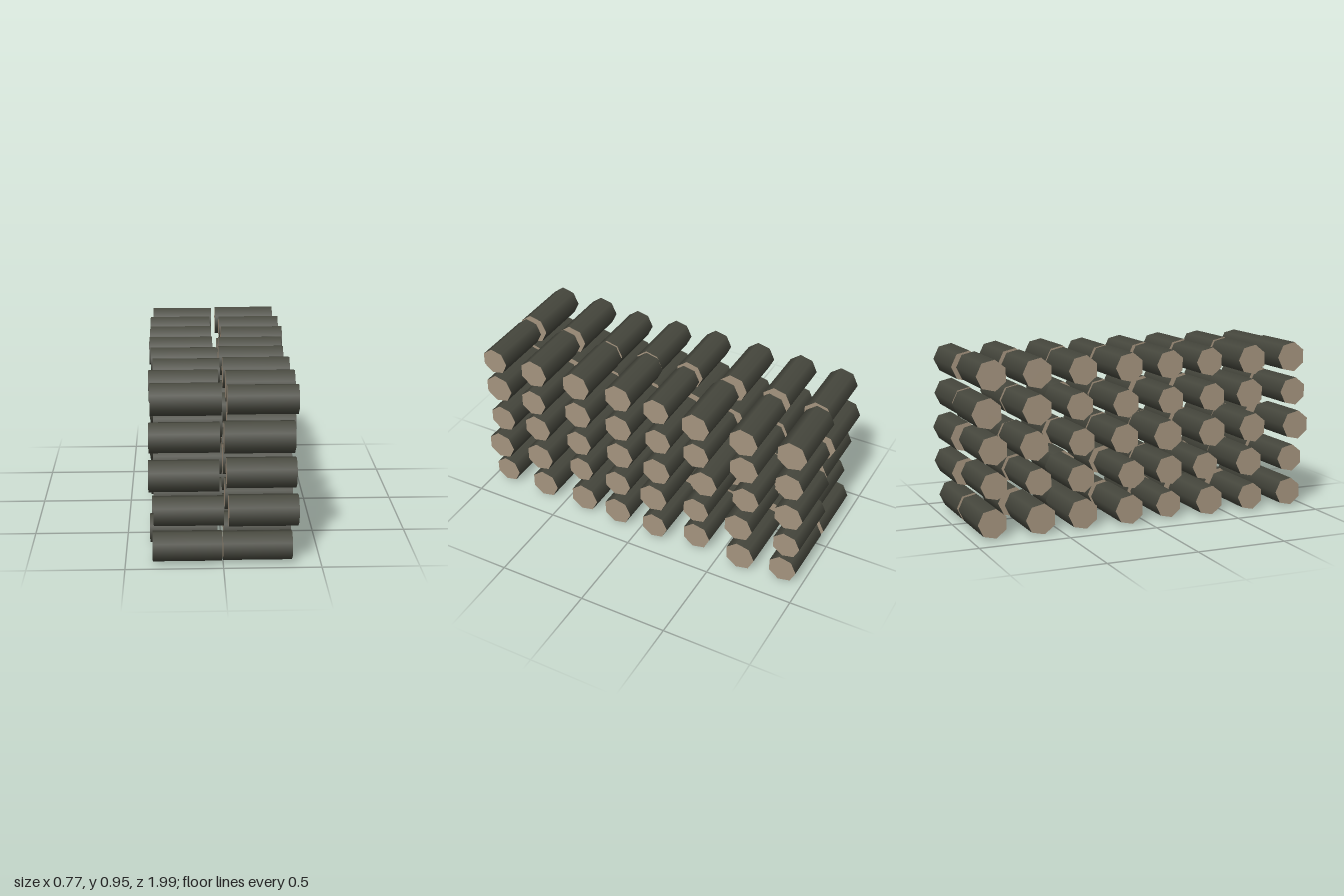
import * as THREE from 'three';

// Sideways drift of each log in hundredths, front to back; top layer first
const DRIFT = {
  left: [
    [1, 1, 0, 0, 2, 3, 1, 0],
    [1, 2, 0, 0, 1, 3, 1, 0],
    [-1, 2, 0, 0, 1, -1, -1, -1],
    [1, 1, 0, 1, 3, 3, 2, -1],
    [0, -1, -2, 1, 2, 3, 0, 1],
  ],
  right: [
    [0, 0, 0, 1, 2, 1, 1, 2],
    [1, 0, 1, 1, 0, 0, 1, -1],
    [3, 2, 1, 0, 0, 1, 0, 2],
    [1, 0, -2, 1, 3, 0, 2, 3],
    [0, 0, 0, 1, 2, 1, 2, 1],
  ],
};

// Small seeded generator for the variation between logs
function seeded(seed) {
  let s = seed;
  return () => {
    s = (s * 16807) % 2147483647;
    return s / 2147483647;
  };
}

export function createModel() {
  const model = new THREE.Group();
  model.name = 'logStack';

  const bark = new THREE.MeshStandardMaterial({ color: 0x47483e });
  bark.name = 'darkBark';
  const cutWood = new THREE.MeshStandardMaterial({ color: 0xa5947f });
  cutWood.name = 'cutWood';

  // Seven-sided log lying along x, one corner pointing to the back
  const logGeometry = new THREE.CylinderGeometry(1, 1, 1, 7, 1, false, Math.PI);
  logGeometry.rotateZ(Math.PI / 2);

  const random = seeded(4711);
  for (const [side, sign] of [['left', 1], ['right', -1]]) {
    const pile = new THREE.Group();
    pile.name = side + 'Pile';
    DRIFT[side].forEach((row, layer) => {
      row.forEach((drift, column) => {
        const log = new THREE.Mesh(logGeometry, [bark, cutWood, cutWood]);
        log.name = 'log';
        const radius = 0.077 + random() * 0.01;
        log.scale.set(0.355, radius, radius);
        log.position.set(
          sign * 0.19 + (random() - 0.5) * 0.036,
          0.869 - layer * 0.1955,
          0.896 - column * 0.256 + drift * 0.01
        );
        pile.add(log);
      });
    });
    model.add(pile);
  }
  return model;
}
